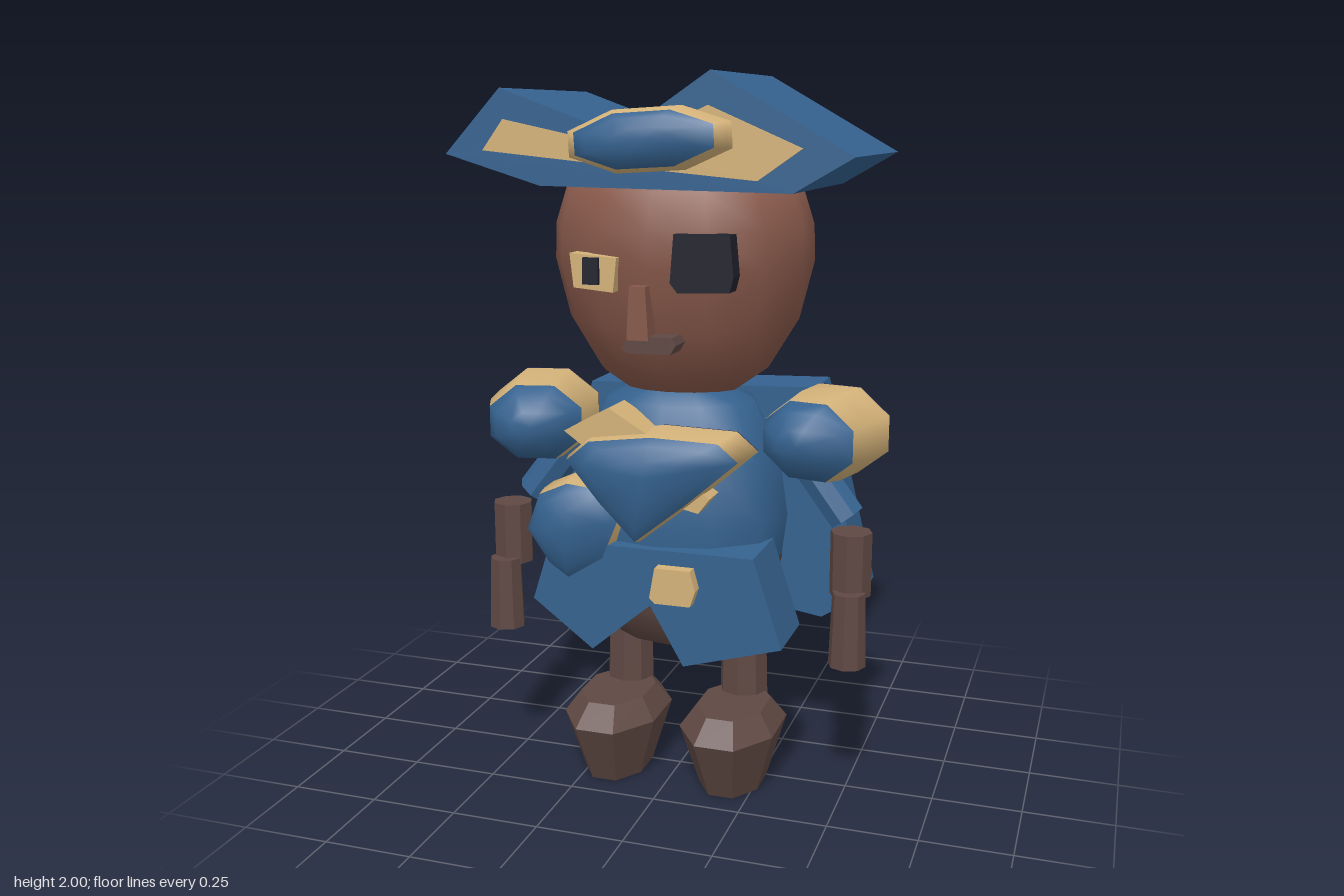
import * as THREE from 'three';

const mat = (name, color) => Object.assign(new THREE.MeshStandardMaterial({ color }), { name });

export function createModel() {
  const M = {
    blue: mat('coat blue', 0x35628f),
    gold: mat('trim gold', 0xd4b279),
    skin: mat('skin brown', 0x87584a),
    brown: mat('dark brown', 0x5f4843),
    black: mat('eye black', 0x20222c),
    navy: mat('lining navy', 0x2d2f52),
  };
  const root = new THREE.Group();

  const add = (name, geo, material, parent = root) => {
    const m = new THREE.Mesh(geo, material);
    m.name = name;
    parent.add(m);
    return m;
  };
  const flat = (geo) => {
    const g = geo.index ? geo.toNonIndexed() : geo;
    g.computeVertexNormals();
    return g;
  };
  // outline cut from cloth of even thickness, between z0 and z1
  const slab = (pts, z0, z1) =>
    new THREE.ExtrudeGeometry(new THREE.Shape(pts.map((p) => new THREE.Vector2(...p))),
      { depth: z1 - z0, bevelEnabled: false }).translate(0, 0, z0);
  const box = (x0, x1, y0, y1, z0, z1) =>
    new THREE.BoxGeometry(x1 - x0, y1 - y0, z1 - z0)
      .translate((x0 + x1) / 2, (y0 + y1) / 2, (z0 + z1) / 2);
  const ellipse = (rx, ry, n = 8) => Array.from({ length: n }, (_, i) => {
    const a = ((i + 0.5) / n) * Math.PI * 2;
    return [rx * Math.cos(a) / Math.cos(Math.PI / n), ry * Math.sin(a) / Math.cos(Math.PI / n)];
  });

  // rings of an outline scaled about its middle: [scale, z] per ring
  const loft = (pts, rings, cap) => {
    const n = pts.length, pos = [], idx = [];
    const cx = pts.reduce((s, p) => s + p[0], 0) / n;
    const cy = pts.reduce((s, p) => s + p[1], 0) / n;
    rings.forEach(([s, z]) => pts.forEach(([x, y]) => pos.push(cx + (x - cx) * s, cy + (y - cy) * s, z)));
    for (let k = 0; k < rings.length - 1; k++) {
      for (let i = 0; i < n; i++) {
        const j = (i + 1) % n, a = k * n + i, b = k * n + j;
        idx.push(a, b, b + n, a, b + n, a + n);
      }
    }
    if (cap) {
      const last = (rings.length - 1) * n;
      pos.push(cx, cy, rings[rings.length - 1][1]);
      for (let i = 0; i < n; i++) idx.push(rings.length * n, last + i, last + (i + 1) % n);
    }
    const g = new THREE.BufferGeometry();
    g.setAttribute('position', new THREE.Float32BufferAttribute(pos, 3));
    g.setIndex(idx);
    g.computeVertexNormals();
    return g;
  };

  // gold rimmed plate with a blue domed front and a navy back
  const boss = (name, pts, z0, z1, z2, s = 0.86) => {
    const g = new THREE.Group();
    g.name = name;
    add(name + 'Rim', loft(pts, [[1, z0], [0.98, z0 + (z1 - z0) * 0.6], [s, z1]], false), M.gold, g);
    add(name + 'Dome', loft(pts, [[s, z1], [s * 0.8, z1 + (z2 - z1) * 0.55], [s * 0.4, z2]], true), M.blue, g);
    add(name + 'Back', slab(pts, z0 - 0.005, z0), M.navy, g);
    root.add(g);
    return g;
  };

  // hat with its front trim and badge
  add('hat', slab([[-0.57, 1.79], [-0.3, 1.71], [0.38, 1.70], [0.535, 1.79], [0.165, 2.0],
    [-0.075, 1.84], [-0.41, 1.96]], -0.34, 0.27), M.blue);
  add('hatTrim', slab([[-0.46, 1.80], [-0.1, 1.765], [0.29, 1.73], [0.405, 1.81], [0.16, 1.915],
    [-0.06, 1.81], [-0.40, 1.88]], 0.27, 0.276), M.gold);
  const badge = boss('hatBadge', ellipse(0.215, 0.08), 0.275, 0.335, 0.367);
  badge.position.set(0.01, 1.83, 0);
  badge.rotation.z = 0.06;

  // head
  const lathe = (pts, n, sz, z) =>
    new THREE.LatheGeometry(pts.map((p) => new THREE.Vector2(...p)), n).scale(1, 1, sz).translate(0, 0, z);
  add('head', lathe([[0, 1.11], [0.14, 1.13], [0.24, 1.2], [0.325, 1.34], [0.365, 1.5], [0.362, 1.6],
    [0.33, 1.7], [0.22, 1.77], [0, 1.8]], 14, 0.865, -0.03), M.skin);

  // face
  add('eyeWhite', slab([[-0.2, 1.45], [-0.09, 1.44], [-0.08, 1.53], [-0.21, 1.54]], 0.24, 0.292), M.gold);
  add('pupil', box(-0.17, -0.127, 1.46, 1.53, 0.285, 0.305), M.black);
  add('eyePatch', slab([[0.065, 1.47], [0.085, 1.445], [0.225, 1.45], [0.235, 1.49], [0.225, 1.595],
    [0.075, 1.595]], 0.23, 0.29), M.black);
  add('nose', slab([[-0.048, 1.32], [0.012, 1.32], [0.004, 1.46], [-0.04, 1.46]], 0.25, 0.308), M.skin);
  add('mouth', slab([[-0.065, 1.295], [-0.045, 1.285], [0.07, 1.285], [0.085, 1.31], [0.075, 1.33],
    [-0.045, 1.33]], 0.22, 0.303), M.brown);

  // body
  add('torso', lathe([[0.3, 0.68], [0.315, 0.8], [0.29, 0.97], [0.215, 1.12], [0.1, 1.17], [0, 1.18]], 12, 0.8, 0), M.blue);
  add('hips', lathe([[0, 0.42], [0.19, 0.42], [0.27, 0.53], [0.3, 0.68]], 12, 0.72, -0.01), M.brown);

  // cape and skirt
  add('cape', slab([[-0.5, 0.52], [-0.28, 0.44], [-0.03, 0.6], [0.11, 0.48], [0.38, 0.44], [0.5, 0.52],
    [0.35, 1.13], [-0.34, 1.11]], -0.36, -0.18), M.blue);
  add('skirt', slab([[-0.345, 0.57], [-0.17, 0.44], [0, 0.585], [0.095, 0.42], [0.37, 0.5], [0.29, 0.745],
    [-0.29, 0.745]], 0.06, 0.27), M.blue);
  add('buckle', slab([[0.01, 0.62], [0.025, 0.605], [0.125, 0.605], [0.14, 0.65], [0.125, 0.705],
    [0.025, 0.705]], 0.27, 0.305), M.gold);

  // chest strap and plates
  add('strap', slab([[-0.24, 1.06], [0, 0.89], [0.14, 0.86], [0.17, 0.9], [-0.01, 1.07], [-0.11, 1.13]],
    0.16, 0.28), M.gold);
  boss('chestPlate', [[-0.24, 0.99], [-0.14, 0.87], [-0.03, 0.76], [0.12, 0.88], [0.28, 1.02], [0.22, 1.07],
    [0.02, 1.075], [-0.17, 1.05]], 0.19, 0.315, 0.356, 0.92);
  boss('sidePlate', [[-0.37, 0.77], [-0.3, 0.67], [-0.24, 0.63], [-0.13, 0.7], [-0.08, 0.82], [-0.14, 0.91],
    [-0.24, 0.92], [-0.33, 0.88]], 0.15, 0.27, 0.31, 0.92);

  // rod between two points
  const rod = (name, a, b, r0, r1, m, n = 8) => {
    const A = new THREE.Vector3(...a), B = new THREE.Vector3(...b);
    const mesh = add(name, flat(new THREE.CylinderGeometry(r1, r0, A.distanceTo(B), n)), m);
    mesh.position.copy(A).lerp(B, 0.5);
    mesh.quaternion.setFromUnitVectors(new THREE.Vector3(0, 1, 0), B.sub(A).normalize());
    return mesh;
  };

  for (const s of [1, -1]) {
    const side = s > 0 ? 'left' : 'right';
    // shoulder, arm and hand
    const pad = boss(side + 'ShoulderPad', ellipse(0.15, 0.12), -0.11, 0.09, 0.17, 0.88);
    pad.position.set(s * 0.415, 1.04, 0.03);
    pad.rotation.y = -0.22 * s;
    rod(side + 'UpperArm', [s * 0.3, 1.02, -0.06], [s * 0.475, 0.79, -0.05], 0.055, 0.055, M.blue);
    rod(side + 'Forearm', [s * 0.507, 0.6, 0.045], [s * 0.507, 0.78, 0.045], 0.058, 0.058, M.brown);
    rod(side + 'Hand', [s * 0.513, 0.41, 0.092], [s * 0.513, 0.62, 0.092], 0.053, 0.046, M.brown);
    // leg and foot
    rod(side + 'Leg', [s * 0.178, 0.2, -0.06], [s * 0.175, 0.5, -0.06], 0.072, 0.066, M.brown);
    const foot = flat(loft(ellipse(0.14, 0.208, 8), [[0.62, 0], [0.98, 0.18], [0.68, 0.24]], true));
    const sole = flat(loft(ellipse(0.14, 0.208, 8), [[0.62, 0]], true));
    const g = new THREE.Group();
    g.name = side + 'Foot';
    add(side + 'FootUpper', foot, M.brown, g);
    add(side + 'FootSole', sole, M.brown, g).rotation.y = Math.PI;
    g.rotation.x = -Math.PI / 2;
    g.position.set(s * 0.177, 0, 0.048);
    root.add(g);
  }
  return root;
}
